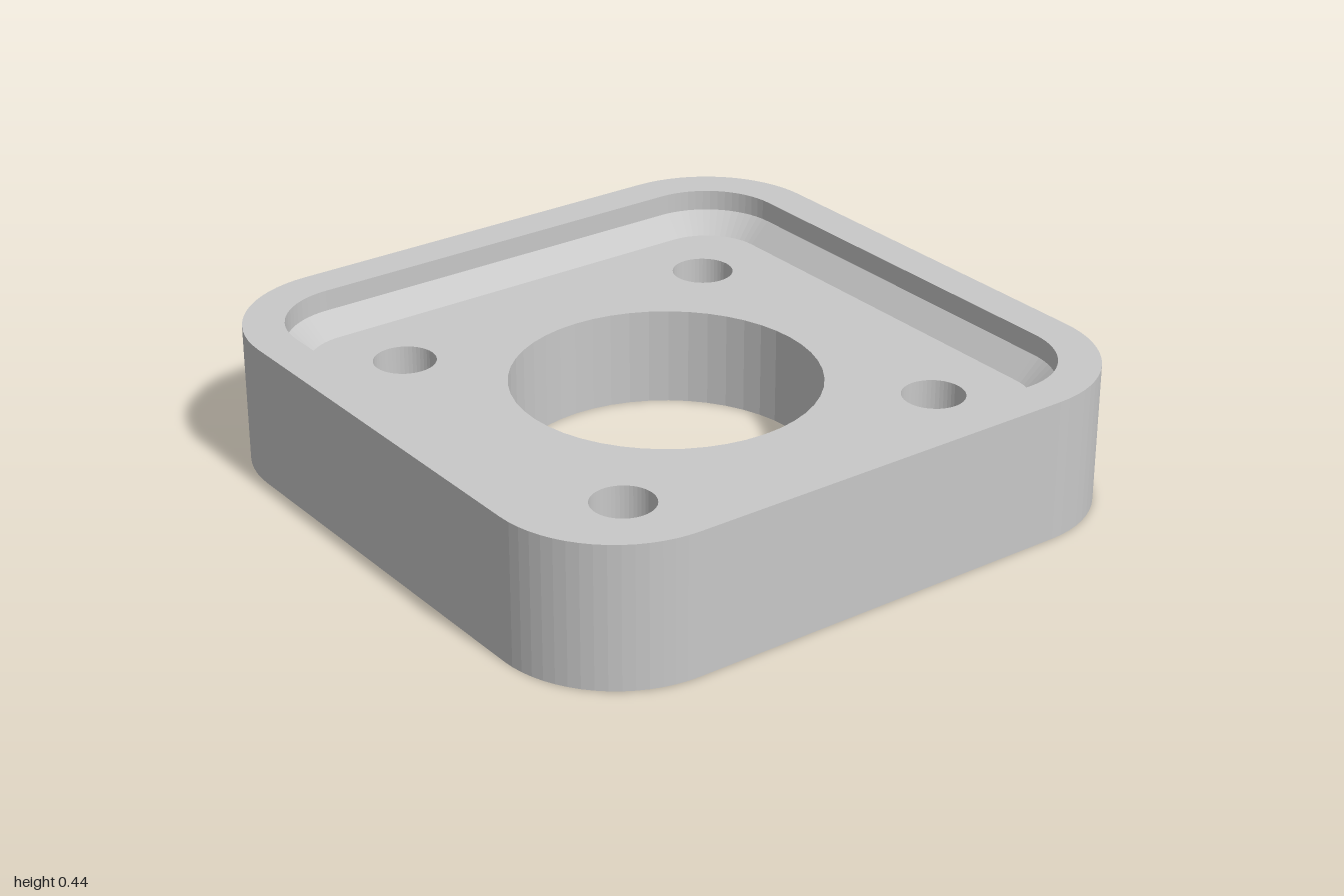
import * as THREE from 'three';

const CORNER = 0.63;          // centre of every corner arc
const STEPS = 16;             // facets per corner
const HOLE_SEGMENTS = 48;
const HOLES = [
  { name: 'centreBore', x: 0, z: 0, r: 0.465 },
  ...[[1, 1], [-1, 1], [-1, -1], [1, -1]].map(([sx, sz], i) => (
    { name: 'boltHole' + (i + 1), x: 0.555 * sx, z: 0.555 * sz, r: 0.095 })),
];
const FLOOR = 0.305;

// Rounded square outline with the given half width
function outline(half) {
  const r = half - CORNER, pts = [];
  for (let q = 0; q < 4; q++) {
    const mid = (q + 0.5) * Math.PI / 2;
    const cx = CORNER * Math.sign(Math.cos(mid)), cz = CORNER * Math.sign(Math.sin(mid));
    for (let i = 0; i <= STEPS; i++) {
      const a = (q + i / STEPS) * Math.PI / 2;
      pts.push(new THREE.Vector2(cx + r * Math.cos(a), cz + r * Math.sin(a)));
    }
  }
  return pts;
}

// Faceted band joining two outlines [half width, height]
function band([h0, y0], [h1, y1]) {
  const a = outline(h0), b = outline(h1), pos = [];
  for (let i = 0; i < a.length; i++) {
    const j = (i + 1) % a.length;
    const A = [a[i].x, y0, a[i].y], B = [a[j].x, y0, a[j].y];
    const C = [b[i].x, y1, b[i].y], D = [b[j].x, y1, b[j].y];
    pos.push(...A, ...C, ...B, ...B, ...C, ...D);
  }
  const g = new THREE.BufferGeometry();
  g.setAttribute('position', new THREE.Float32BufferAttribute(pos, 3));
  g.computeVertexNormals();
  return g;
}

// Flat plate face pierced by all holes; side is +1 for up, -1 for down
function piercedFace(half, y, side) {
  const shape = new THREE.Shape(outline(half));
  for (const h of HOLES) {
    shape.holes.push(new THREE.Path().absarc(h.x, h.z, h.r, 0, Math.PI * 2, true));
  }
  return new THREE.ShapeGeometry(shape, HOLE_SEGMENTS / 2)
    .rotateX(-side * Math.PI / 2).translate(0, y, 0);
}

// Inward-facing faceted hole wall
function holeWall({ x, z, r }) {
  const g = new THREE.CylinderGeometry(r, r, FLOOR, HOLE_SEGMENTS, 1, true)
    .scale(-1, 1, 1).translate(x, FLOOR / 2, z).toNonIndexed();
  g.computeVertexNormals();
  return g;
}

export function createModel() {
  const group = new THREE.Group();
  group.name = 'mountingPlate';
  const metal = new THREE.MeshStandardMaterial({ color: 0xc8c8c8 });
  metal.name = 'light grey metal';
  const add = (name, geometry) => {
    const mesh = new THREE.Mesh(geometry, metal);
    mesh.name = name;
    group.add(mesh);
  };

  // Outer wall, rim and stepped recess
  const profile = [[1, 0], [1, 0.435], [0.875, 0.435], [0.875, 0.37], [0.81, FLOOR]];
  ['outerWall', 'topRim', 'recessWall', 'recessChamfer'].forEach((name, i) =>
    add(name, band(profile[i], profile[i + 1])));

  // Recess floor and underside
  add('recessFloor', piercedFace(0.81, FLOOR, 1));
  add('underside', piercedFace(1, 0, -1));

  // Bore and bolt holes
  for (const h of HOLES) add(h.name, holeWall(h));
  return group;
}
